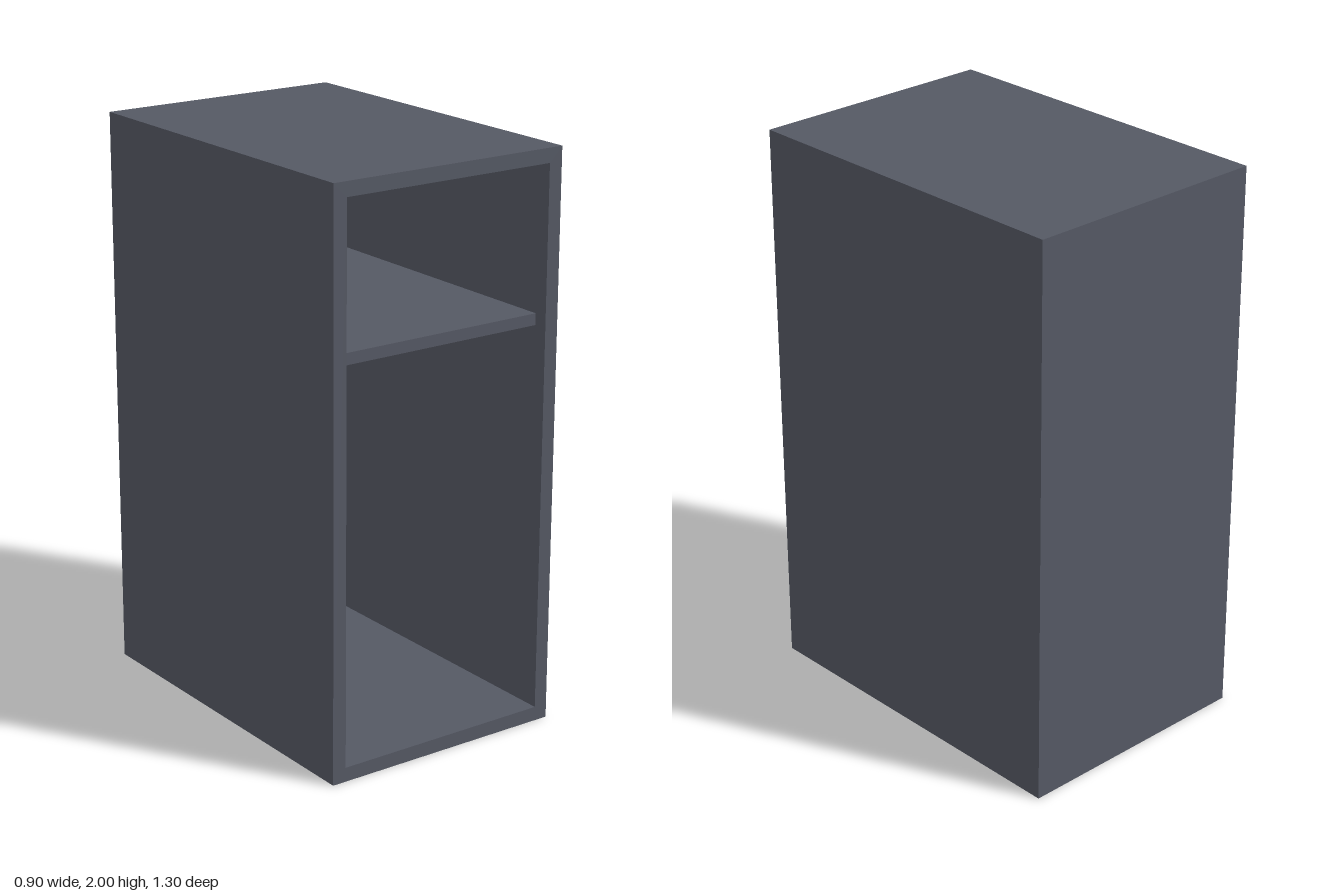
import * as THREE from 'three';

export function createModel() {
  const group = new THREE.Group();
  group.name = 'cabinet';

  const slate = new THREE.MeshStandardMaterial({ color: 0x555964 });
  slate.name = 'slate grey';

  const W = 0.9, H = 2, D = 1.3, T = 0.05;

  // Open-fronted carcass: a rectangular frame extruded from back panel to front
  const frame = new THREE.Shape([
    new THREE.Vector2(-W / 2, 0), new THREE.Vector2(W / 2, 0),
    new THREE.Vector2(W / 2, H), new THREE.Vector2(-W / 2, H),
  ]);
  frame.holes.push(new THREE.Path([
    new THREE.Vector2(-W / 2 + T, T), new THREE.Vector2(-W / 2 + T, H - T),
    new THREE.Vector2(W / 2 - T, H - T), new THREE.Vector2(W / 2 - T, T),
  ]));
  const carcass = new THREE.Mesh(
    new THREE.ExtrudeGeometry(frame, { depth: D, bevelEnabled: false }), slate);
  carcass.name = 'carcass';
  carcass.position.z = -D / 2;
  group.add(carcass);

  function board(name, w, h, d, y, z) {
    const mesh = new THREE.Mesh(new THREE.BoxGeometry(w, h, d), slate);
    mesh.name = name;
    mesh.position.set(0, y, z);
    group.add(mesh);
  }

  // Back panel closing the frame, and a shelf set slightly behind the front edge
  board('backPanel', W - 2 * T, H - 2 * T, T, H / 2, -D / 2 + T / 2);
  board('shelf', W - 2 * T, 0.04, D - 2 * T, 1.42, 0);

  return group;
}
